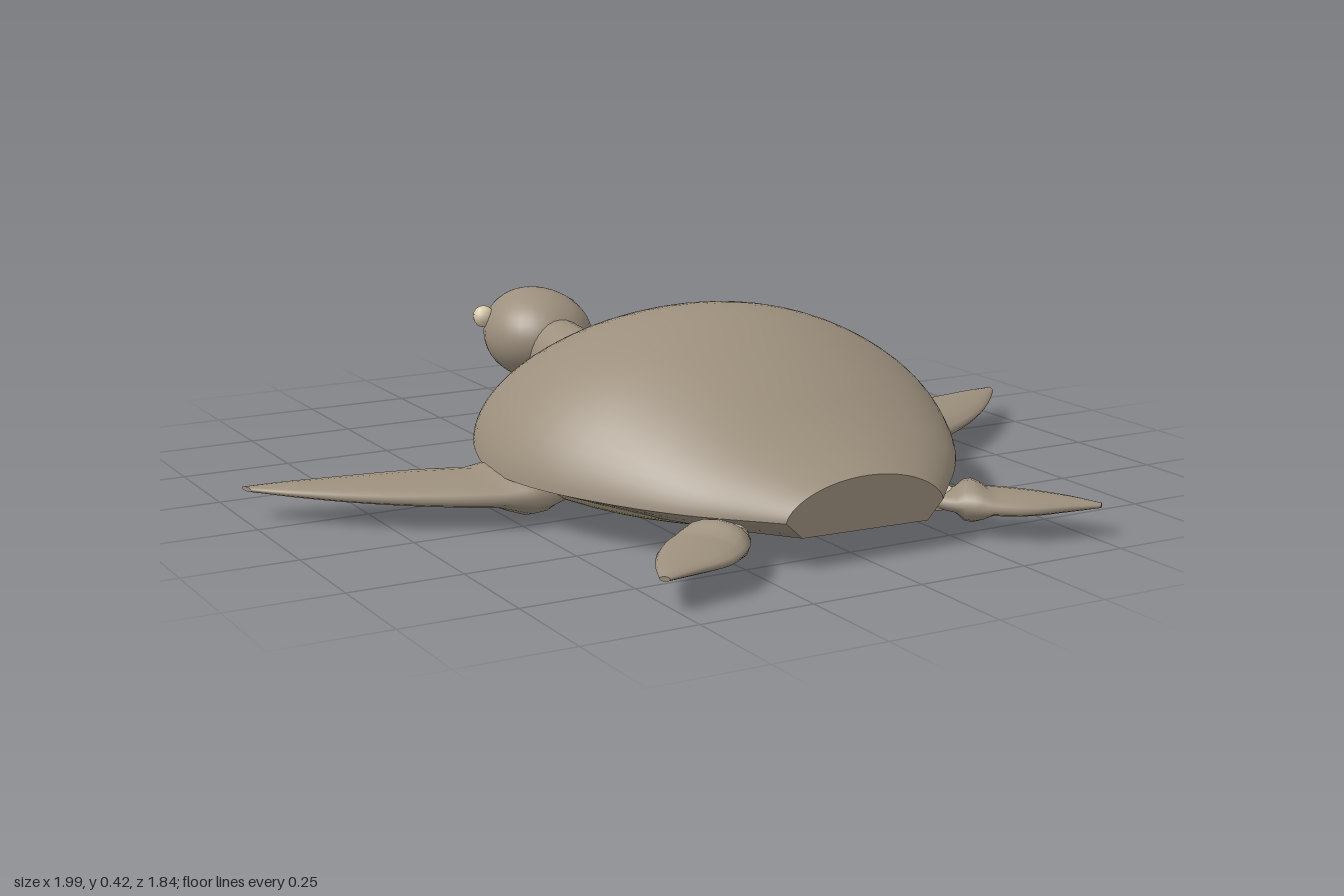
import * as THREE from 'three';

const mat = (name, color, side = THREE.FrontSide) => {
  const m = new THREE.MeshStandardMaterial({ color, side });
  m.name = name;
  return m;
};

// Skin a list of equal-length rings; optional closed loop, end caps and flipped winding
function loft(rings, { closed = true, caps = false, flip = false } = {}) {
  const n = rings[0].length, pos = [], idx = [];
  const tri = (a, b, c) => (flip ? idx.push(a, c, b) : idx.push(a, b, c));
  rings.forEach(r => r.forEach(p => pos.push(...p)));
  for (let i = 0; i < rings.length - 1; i++) {
    for (let j = 0; j < (closed ? n : n - 1); j++) {
      const a = i * n + j, b = i * n + (j + 1) % n;
      tri(a, b, a + n);
      tri(b, b + n, a + n);
    }
  }
  if (caps) {
    [rings[0], rings[rings.length - 1]].forEach((r, end) => {
      const base = pos.length / 3;
      r.forEach(p => pos.push(...p));
      pos.push(...[0, 1, 2].map(k => r.reduce((s, p) => s + p[k], 0) / n));
      for (let j = 0; j < n; j++) {
        const a = base + j, b = base + (j + 1) % n;
        end ? tri(base + n, a, b) : tri(base + n, b, a);
      }
    });
  }
  const g = new THREE.BufferGeometry();
  g.setAttribute('position', new THREE.Float32BufferAttribute(pos, 3));
  g.setIndex(idx);
  g.computeVertexNormals();
  return g;
}

// Flat paddle from stations [leadX, leadZ, trailX, trailZ, halfThickness]
function flipper(stations, y, side) {
  const curve = k => new THREE.CatmullRomCurve3(
    stations.map(s => (k < 2 ? new THREE.Vector3(s[2 * k], 0, s[2 * k + 1]) : new THREE.Vector3(s[4], 0, 0))));
  const lead = curve(0), trail = curve(1), thick = curve(2);
  const rings = [];
  for (let i = 0; i <= 20; i++) {
    const L = lead.getPoint(i / 20), T = trail.getPoint(i / 20), h = thick.getPoint(i / 20).x;
    const ring = [];
    for (let j = 0; j < 16; j++) {
      const a = j / 16 * Math.PI * 2, f = (1 - Math.cos(a)) / 2;
      ring.push([side * (L.x + (T.x - L.x) * f), y + h * Math.sin(a), L.z + (T.z - L.z) * f]);
    }
    rings.push(ring);
  }
  return loft(rings, { caps: true, flip: side < 0 });
}

export function createModel() {
  const model = new THREE.Group();
  model.name = 'turtle';
  const skin = mat('warm grey brown', 0x9c8f7d);
  const belly = mat('olive tan', 0xaca07f);
  const cream = mat('cream', 0xd9ccae, THREE.DoubleSide);
  const add = (name, geo, material, p = [0, 0, 0], s = [1, 1, 1]) => {
    const m = new THREE.Mesh(geo, material);
    m.name = name;
    m.position.set(...p);
    m.scale.set(...s);
    model.add(m);
    return m;
  };

  // Shell: half width, crown height and z along the back, cut off at both ends
  const spine = new THREE.CatmullRomCurve3([
    [0.19, 0.17, -0.465], [0.30, 0.235, -0.35], [0.405, 0.315, -0.2], [0.49, 0.39, 0],
    [0.525, 0.42, 0.16], [0.505, 0.40, 0.32], [0.43, 0.33, 0.5], [0.335, 0.25, 0.65],
    [0.19, 0.175, 0.805]].map(p => new THREE.Vector3(...p)));
  const dome = [], under = [], ends = [];
  for (let i = 0; i <= 40; i++) {
    const { x: w, y: h, z } = spine.getPoint(i / 40);
    const k = 1 - ((z - 0.17) / 0.635) ** 2;
    const rim = c => 0.1 + 0.05 * k * (1 + c) / 2; // the rim sits higher on the left side
    const arc = [];
    for (let j = 0; j <= 32; j++) {
      const a = j / 32 * Math.PI, c = Math.cos(a), r = rim(c);
      arc.push([w * c, r + (h - r) * Math.max(0, Math.sin(a)) ** 1.2, z]);
    }
    const lip = [[-w, rim(-1), z], [-w * 0.8, rim(-1) - 0.035, z], [w * 0.8, rim(1) - 0.04, z], [w, rim(1), z]];
    dome.push(arc);
    under.push(lip);
    if (i === 0 || i === 40) ends.push([...arc, lip[1], lip[2]]);
  }
  add('shell', loft(dome, { closed: false }), skin);
  add('shellUnderside', loft(under, { closed: false }), skin);
  ends.forEach((ring, i) => {
    const shape = new THREE.Shape(ring.map(p => new THREE.Vector2(i ? p[0] : -p[0], p[1])));
    const cap = add(i ? 'shellTailEnd' : 'shellNeckEnd', new THREE.ShapeGeometry(shape), skin, [0, 0, ring[0][2]]);
    if (!i) cap.rotation.y = Math.PI;
  });

  // Belly plate with a pale seam under the shell rim
  add('bellyPlate', new THREE.SphereGeometry(1, 48, 16, 0, Math.PI * 2, Math.PI / 2, Math.PI / 2),
    belly, [0, 0.088, 0.15], [0.46, 0.088, 0.6]);
  add('bellySeam', new THREE.CylinderGeometry(1, 1, 0.035, 48, 1, true), cream, [0, 0.102, 0.15], [0.455, 1, 0.595]);

  // Neck
  const from = new THREE.Vector3(0, 0.135, -0.37), to = new THREE.Vector3(0, 0.18, -0.6);
  const dir = to.clone().sub(from);
  const neck = add('neck', new THREE.CylinderGeometry(0.085, 0.107, dir.length(), 28), skin,
    from.clone().add(to).multiplyScalar(0.5).toArray(), [0.9, 1, 1]);
  neck.quaternion.setFromUnitVectors(new THREE.Vector3(0, 1, 0), dir.normalize());

  // Head, narrowing toward the snout
  const headGeo = new THREE.SphereGeometry(1, 32, 24);
  const hp = headGeo.attributes.position;
  for (let i = 0; i < hp.count; i++) hp.setX(i, hp.getX(i) * (1 + 0.15 * hp.getZ(i)));
  headGeo.computeVertexNormals();
  add('head', headGeo, skin, [0, 0.205, -0.71], [0.13, 0.115, 0.17]);
  add('beak', new THREE.SphereGeometry(1, 16, 12), skin, [0, 0.168, -0.872], [0.062, 0.04, 0.048]);

  // Limbs and eyes, mirrored
  const front = [[0.34, 0.10, 0.36, 0.26, 0.015], [0.42, 0.05, 0.43, 0.295, 0.034], [0.53, 0.015, 0.53, 0.275, 0.034],
    [0.65, -0.04, 0.66, 0.215, 0.028], [0.8, -0.075, 0.8, 0.115, 0.02], [0.92, -0.1, 0.91, 0.01, 0.012],
    [0.995, -0.108, 0.985, -0.075, 0.005]];
  const hind = [[0.24, 0.66, 0.22, 0.7, 0.012], [0.32, 0.665, 0.25, 0.77, 0.024], [0.38, 0.685, 0.3, 0.835, 0.024],
    [0.45, 0.75, 0.36, 0.88, 0.02], [0.5, 0.83, 0.45, 0.9, 0.013], [0.53, 0.9, 0.515, 0.915, 0.005]];
  for (const side of [1, -1]) {
    const s = side > 0 ? 'left' : 'right';
    add(s + 'FrontFlipper', flipper(front, 0.066, side), skin);
    add(s + 'HindFlipper', flipper(hind, 0.066, side), skin);
    add(s + 'HindStub', new THREE.SphereGeometry(1, 16, 10), cream, [side * 0.26, 0.068, 0.69], [0.045, 0.028, 0.045]);
    add(s + 'Eye', new THREE.SphereGeometry(0.028, 10, 8), cream, [side * 0.118, 0.248, -0.762]);
  }
  return model;
}
